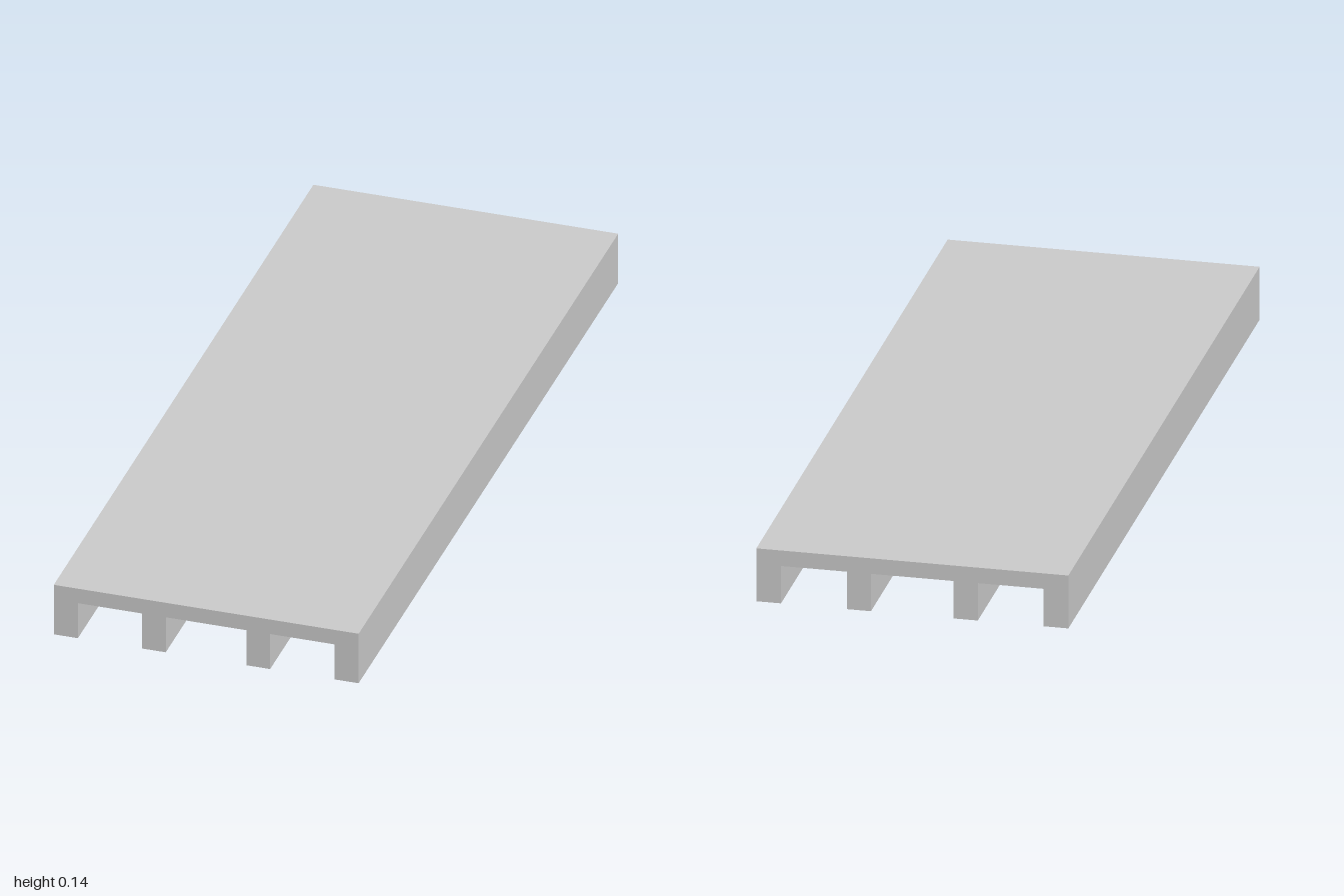
import * as THREE from 'three';

const LENGTH = 2, HALF_WIDTH = 0.379, HEIGHT = 0.135, UNDERSIDE = 0.0955;

export function createModel() {
  const model = new THREE.Group();
  model.name = 'ribbedPlank';
  const material = new THREE.MeshStandardMaterial({ color: 0xcccccc, flatShading: true });

  // One continuous cross-section: deck plate with four ribs below, drawn counter-clockwise
  const ribs = [[-HALF_WIDTH, -0.319], [-0.159, -0.1005], [0.1005, 0.159], [0.319, HALF_WIDTH]];
  const profile = new THREE.Shape();
  profile.moveTo(-HALF_WIDTH, HEIGHT);
  ribs.forEach(([left, right], i) => {
    if (i > 0) profile.lineTo(left, UNDERSIDE);
    profile.lineTo(left, 0);
    profile.lineTo(right, 0);
    if (i < ribs.length - 1) profile.lineTo(right, UNDERSIDE);
  });
  profile.lineTo(HALF_WIDTH, HEIGHT);
  profile.closePath();

  // Run the section along the full length
  const geometry = new THREE.ExtrudeGeometry(profile, { depth: LENGTH, bevelEnabled: false });
  geometry.translate(0, 0, -LENGTH / 2);
  const deck = new THREE.Mesh(geometry, material);
  deck.name = 'deckWithRibs';
  model.add(deck);

  return model;
}
